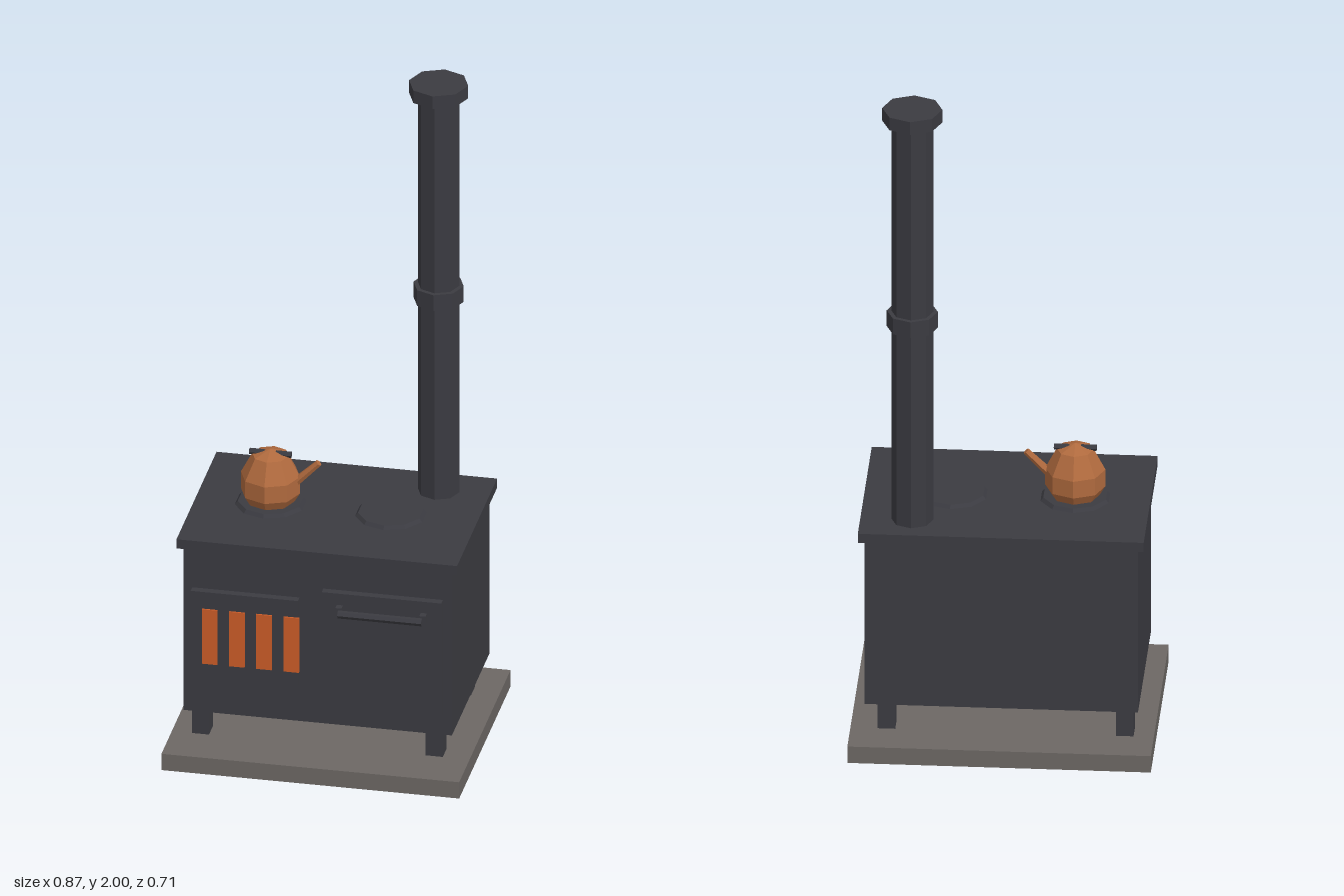
import * as THREE from 'three';

export function createModel() {
  const model = new THREE.Group();
  model.name = 'stove';

  const material = (name, color) => {
    const m = new THREE.MeshStandardMaterial({ color, flatShading: true });
    m.name = name;
    return m;
  };
  const iron = material('cast iron', 0x3b3b41);
  const stone = material('hearth stone', 0x6c6764);
  const copper = material('copper', 0xb06a3e);
  const ember = material('ember glow', 0xcc5c28);

  const add = (name, geometry, mat, parent = model) => {
    const mesh = new THREE.Mesh(geometry, mat);
    mesh.name = name;
    parent.add(mesh);
    return mesh;
  };
  // Box given by its limits on each axis
  const box = (name, mat, [x0, x1], [y0, y1], [z0, z1]) => {
    const mesh = add(name, new THREE.BoxGeometry(x1 - x0, y1 - y0, z1 - z0), mat);
    mesh.position.set((x0 + x1) / 2, (y0 + y1) / 2, (z0 + z1) / 2);
    return mesh;
  };
  // Upright prism between two heights
  const column = (name, mat, x, z, y0, y1, rBottom, rTop, sides) => {
    const mesh = add(name, new THREE.CylinderGeometry(rTop, rBottom, y1 - y0, sides), mat);
    mesh.position.set(x, (y0 + y1) / 2, z);
    return mesh;
  };

  // Hearth slab, legs and stove body
  box('hearthSlab', stone, [-0.433, 0.433], [0, 0.052], [-0.357, 0.357]);
  for (const x of [-0.35, 0.33])
    for (const z of [-0.207, 0.185])
      box('leg', iron, [x < 0 ? x - 0.025 : x - 0.025, x + 0.025], [0.052, 0.15], [z - 0.027, z + 0.027]);
  box('stoveBody', iron, [-0.39, 0.39], [0.145, 0.67], [-0.268, 0.253]);
  box('cooktop', iron, [-0.408, 0.408], [0.667, 0.696], [-0.29, 0.267]);

  // Firebox door with glowing slots
  box('fireboxDoor', iron, [-0.365, -0.053], [0.265, 0.54], [0.25, 0.276]);
  for (let i = 0; i < 4; i++) {
    const x = -0.309 + i * 0.079;
    box('emberSlot', ember, [x - 0.0225, x + 0.0225], [0.313, 0.487], [0.274, 0.281]);
  }

  // Oven door with rail handle
  box('ovenDoor', iron, [0.016, 0.364], [0.208, 0.576], [0.25, 0.276]);
  for (const x of [0.069, 0.313])
    box('handlePost', iron, [x - 0.009, x + 0.009], [0.508, 0.54], [0.274, 0.297]);
  const rail = add('ovenRail', new THREE.CylinderGeometry(0.0115, 0.0115, 0.244, 6), iron);
  rail.rotation.z = Math.PI / 2;
  rail.position.set(0.191, 0.524, 0.303);

  // Hot plates
  for (const x of [-0.193, 0.157])
    column('hotPlate', iron, x, -0.012, 0.695, 0.706, 0.103, 0.094, 10);

  // Flue pipe
  const fx = 0.26, fz = -0.184;
  column('fluePipe', iron, fx, fz, 0.69, 1.97, 0.06, 0.06, 8);
  column('flueCollar', iron, fx, fz, 1.307, 1.357, 0.073, 0.073, 8);
  column('flueCap', iron, fx, fz, 1.96, 2.0, 0.086, 0.086, 8);

  // Kettle
  const kettle = new THREE.Group();
  kettle.name = 'kettle';
  kettle.position.set(-0.193, 0.704, -0.012);
  model.add(kettle);
  const profile = [[0, 0], [0.068, 0], [0.086, 0.03], [0.086, 0.083], [0.053, 0.146], [0, 0.165]]
    .map(([r, y]) => new THREE.Vector2(r, y));
  add('kettleBody', new THREE.LatheGeometry(profile, 8), copper, kettle);
  const spout = add('kettleSpout', new THREE.CylinderGeometry(0.01, 0.014, 0.115, 6), copper, kettle);
  spout.rotation.z = -Math.PI / 4;
  spout.position.set(0.1, 0.093, 0);
  const grip = add('kettleGrip', new THREE.CylinderGeometry(0.009, 0.009, 0.122, 6), iron, kettle);
  grip.rotation.z = Math.PI / 2;
  grip.position.set(0, 0.151, 0);

  return model;
}
